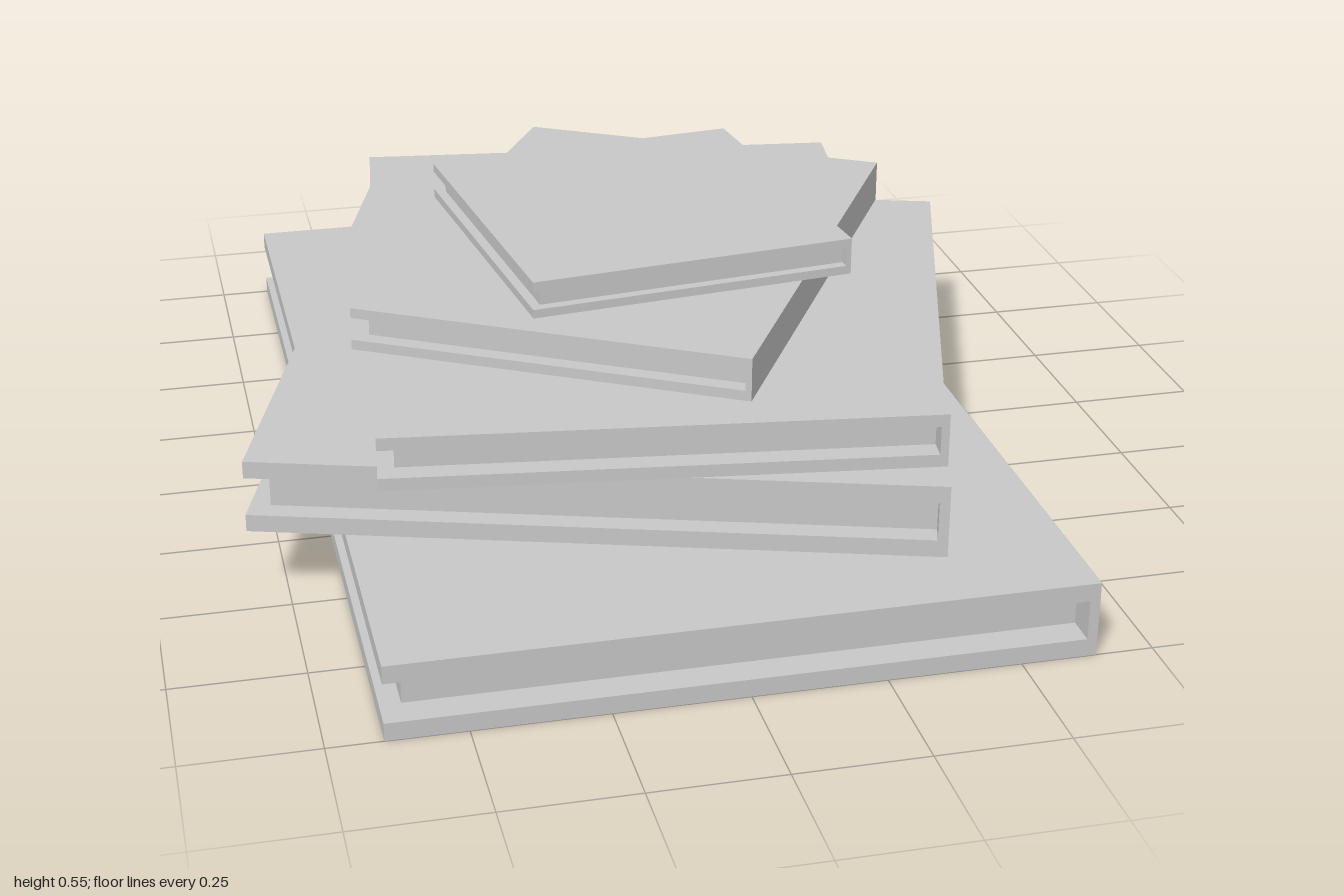
import * as THREE from 'three';

const grey = new THREE.MeshStandardMaterial({ color: 0xc8c8c8 });
grey.name = 'grey';

// width, length, bottom, top, centre x, centre z, turn about y
const BOOKS = [
  [1.29, 2.0, 0, 0.147, -0.003, 0, 0],
  [1.287, 1.417, 0.147, 0.29, 0, -0.018, -0.3],
  [1.033, 1.442, 0.29, 0.395, 0.005, -0.01, -0.127],
  [0.784, 1.066, 0.395, 0.48, 0.015, -0.018, -0.521],
  [0.648, 0.673, 0.48, 0.553, 0.019, 0, 0.122],
];

function slab(name, w, h, d, x, y) {
  const mesh = new THREE.Mesh(new THREE.BoxGeometry(w, h, d), grey);
  mesh.name = name;
  mesh.position.set(x, y, 0);
  return mesh;
}

// A closed book lying flat, spine on its +x side
function makeBook(w, l, h) {
  const book = new THREE.Group();
  const cover = h * 0.235;
  const spine = w * 0.015;
  const inset = w * 0.03;
  const inner = h - 2 * cover;
  book.add(slab('bottomCover', w, cover, l, 0, cover / 2));
  book.add(slab('topCover', w, cover, l, 0, h - cover / 2));
  book.add(slab('spine', spine, inner, l, (w - spine) / 2, h / 2));
  // pages set back from the covers on the three open sides
  book.add(slab('pages', w - spine - inset, inner, l * 0.94, (inset - spine) / 2, h / 2));
  return book;
}

export function createModel() {
  const stack = new THREE.Group();
  stack.name = 'bookStack';
  BOOKS.forEach(([w, l, bottom, top, x, z, turn], i) => {
    const book = makeBook(w, l, top - bottom);
    book.name = `book${i + 1}`;
    book.position.set(x, bottom, z);
    book.rotation.y = turn;
    stack.add(book);
  });
  return stack;
}
